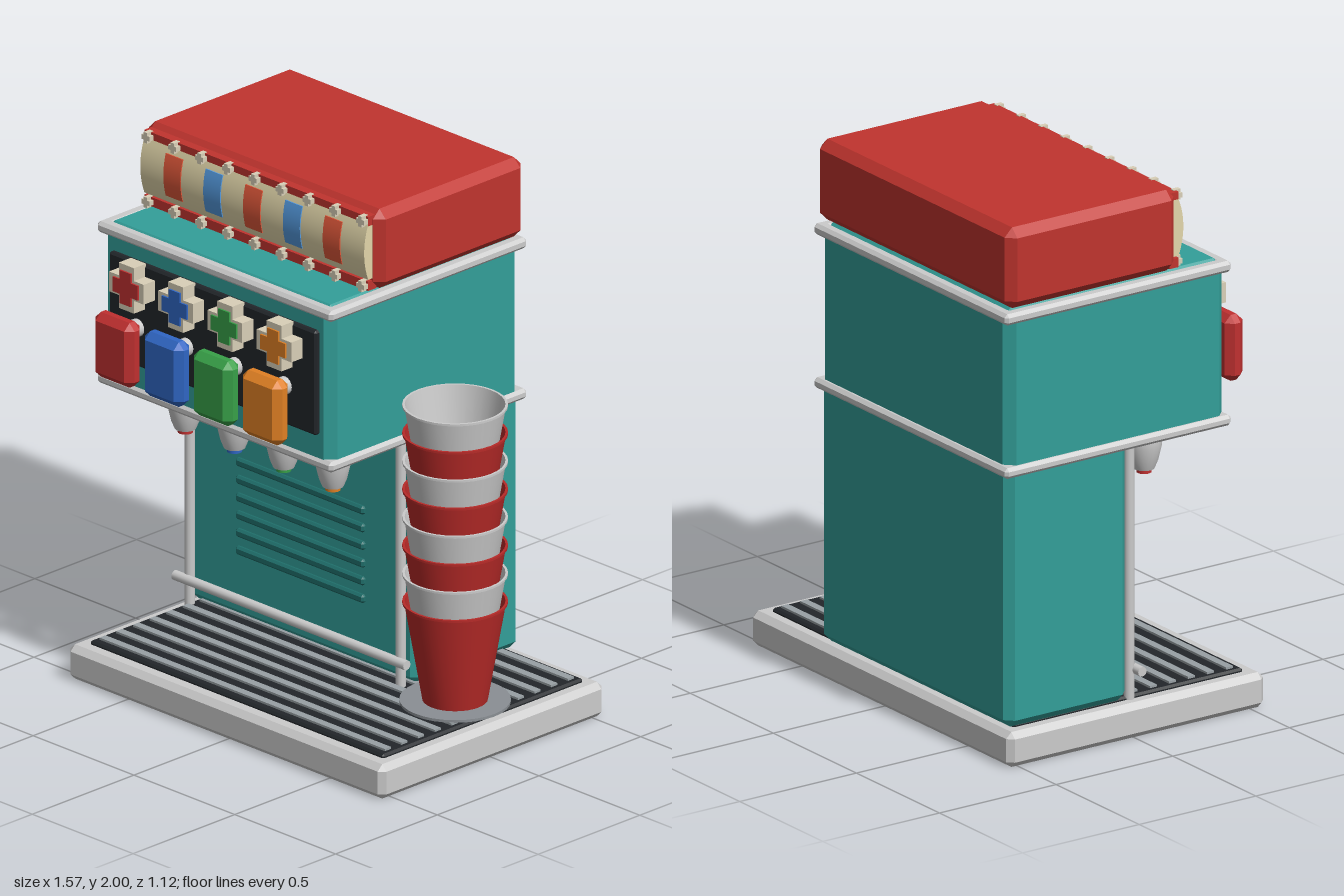
import * as THREE from 'three';
import { toCreasedNormals } from 'three/addons/utils/BufferGeometryUtils.js';
import { ConvexGeometry } from 'three/addons/geometries/ConvexGeometry.js';

const mat = (color) => new THREE.MeshStandardMaterial({ color });
const GREY = mat(0xcccccc), TEAL = mat(0x339f99), RED = mat(0xc0342e), BLACK = mat(0x22262a);
const CREAM = mat(0xd9d0b8), DARK_TEAL = mat(0x1f6f6b), SLAT = mat(0x98a0a4);
const DRINKS = [mat(0xc03030), mat(0x2f66c4), mat(0x38a048), mat(0xe08024)];

function add(parent, name, geometry, material, x = 0, y = 0, z = 0) {
  const mesh = new THREE.Mesh(geometry, material);
  mesh.name = name;
  mesh.position.set(x, y, z);
  parent.add(mesh);
  return mesh;
}

function group(parent, name) {
  const g = new THREE.Group();
  g.name = name;
  parent.add(g);
  return g;
}

// box with all edges chamfered by c, given by its min and max on each axis
function chamferBox(parent, name, material, [x0, x1], [y0, y1], [z0, z1], c) {
  const h = [(x1 - x0) / 2, (y1 - y0) / 2, (z1 - z0) / 2];
  const points = [];
  for (const sx of [-1, 1]) for (const sy of [-1, 1]) for (const sz of [-1, 1])
    for (let full = 0; full < 3; full++) {
      const e = h.map((v, i) => (i === full ? v : v - c));
      points.push(new THREE.Vector3(sx * e[0], sy * e[1], sz * e[2]));
    }
  return add(parent, name, new ConvexGeometry(points), material, (x0 + x1) / 2, (y0 + y1) / 2, (z0 + z1) / 2);
}

// plus sign extruded forward from z
function plus(parent, name, material, size, arm, depth, x, y, z) {
  const a = size / 2, b = arm / 2;
  const shape = new THREE.Shape([
    [-b, -a], [b, -a], [b, -b], [a, -b], [a, b], [b, b],
    [b, a], [-b, a], [-b, b], [-a, b], [-a, -b], [-b, -b],
  ].map(([px, py]) => new THREE.Vector2(px, py)));
  add(parent, name, new THREE.ExtrudeGeometry(shape, { depth, bevelEnabled: false }), material, x, y, z);
}

// slab with a curved front, running along x
function curvedSlab(parent, name, material, x0, x1, y0, y1, edgeZ, bulge) {
  const shape = new THREE.Shape();
  shape.moveTo(0.16, y0);
  shape.lineTo(edgeZ, y0);
  shape.quadraticCurveTo(edgeZ + bulge * 2, (y0 + y1) / 2, edgeZ, y1);
  shape.lineTo(0.16, y1);
  const geo = new THREE.ExtrudeGeometry(shape, { depth: x1 - x0, bevelEnabled: false, curveSegments: 12 });
  geo.rotateY(-Math.PI / 2);
  add(parent, name, toCreasedNormals(geo, 0.6), material, x1, 0, 0);
}

function lathe(profile, segments) {
  const geo = new THREE.LatheGeometry(profile.map(([r, y]) => new THREE.Vector2(r, y)), segments);
  return toCreasedNormals(geo, 0.7);
}

// rectangular trim band around the upper cabinet
function trimBand(parent, name, y0, y1) {
  const g = group(parent, name), c = 0.012, w = 0.05;
  for (const z of [-0.56, 0.36]) chamferBox(g, 'trimBar', GREY, [-0.785, 0.382], [y0, y1], [z, z + w], c);
  for (const x of [-0.785, 0.332]) chamferBox(g, 'trimBar', GREY, [x, x + w], [y0, y1], [-0.56, 0.41], c);
}

export function createModel() {
  const model = new THREE.Group();
  model.name = 'drinkDispenser';

  // drip tray with slatted grille
  const tray = group(model, 'dripTray');
  chamferBox(tray, 'trayBase', GREY, [-0.785, 0.782], [0, 0.13], [-0.545, 0.555], 0.022);
  chamferBox(tray, 'drainPanel', BLACK, [-0.73, 0.727], [0.11, 0.143], [-0.49, 0.495], 0.008);
  for (let i = 0; i < 12; i++)
    add(tray, 'slat', new THREE.BoxGeometry(1.415, 0.012, 0.03), SLAT, -0.002, 0.145, -0.449 + i * 0.0818);

  // cabinet
  const cabinet = group(model, 'cabinet');
  chamferBox(cabinet, 'lowerCabinet', TEAL, [-0.768, 0.37], [0.14, 1.12], [-0.54, -0.02], 0.03);
  chamferBox(cabinet, 'upperCabinet', TEAL, [-0.768, 0.37], [1.07, 1.695], [-0.54, 0.4], 0.035);
  trimBand(cabinet, 'upperTrim', 1.648, 1.69);
  trimBand(cabinet, 'lowerTrim', 1.078, 1.118);
  for (let i = 0; i < 6; i++)
    chamferBox(cabinet, 'vent', DARK_TEAL, [-0.515, 0.12], [0.385 + i * 0.067, 0.417 + i * 0.067], [-0.04, -0.005], 0.008);

  // frame of posts and cross rail
  const frame = group(model, 'frame');
  for (const x of [-0.722, 0.325])
    add(frame, 'post', new THREE.CylinderGeometry(0.019, 0.019, 0.95, 12), GREY, x, 0.605, 0.01);
  const rail = add(frame, 'rail', new THREE.CylinderGeometry(0.018, 0.018, 1.15, 12), GREY, -0.2, 0.24, 0.03);
  rail.rotation.z = Math.PI / 2;

  // illuminated sign on top
  const sign = group(model, 'sign');
  chamferBox(sign, 'signBox', RED, [-0.785, 0.39], [1.7, 2], [-0.545, 0.18], 0.032);
  curvedSlab(sign, 'signPanel', CREAM, -0.755, 0.355, 1.745, 1.955, 0.2, 0.02);
  sign.children.at(-1).material = mat(0xe2d6aa);
  const stripes = [mat(0xe0583a), mat(0x559be0)];
  for (let i = 0; i < 5; i++) {
    const x = -0.595 + i * 0.1975;
    curvedSlab(sign, 'stripe', stripes[i % 2], x - 0.042, x + 0.042, 1.772, 1.932, 0.212, 0.012);
  }
  for (const y of [1.72, 1.965]) {
    add(sign, 'bulbStrip', new THREE.BoxGeometry(1.11, 0.035, 0.04), RED, -0.2, y, 0.18);
    for (let i = 0; i < 9; i++) plus(sign, 'bulb', CREAM, 0.04, 0.018, 0.03, -0.73 + i * 0.133, y, 0.19);
  }

  // taps: knob, lever and nozzle for each drink
  const taps = group(model, 'taps');
  chamferBox(taps, 'tapPanel', BLACK, [-0.712, 0.315], [1.205, 1.6], [0.38, 0.42], 0.008);
  const nozzleGeo = lathe([[0, 0.905], [0.038, 0.905], [0.05, 0.935], [0.063, 0.99], [0.064, 1.02], [0.055, 1.085]], 20);
  DRINKS.forEach((color, i) => {
    const x = -0.567 + i * 0.244, tap = group(taps, 'tap');
    plus(tap, 'knob', CREAM, 0.172, 0.075, 0.06, x, 1.52, 0.415);
    plus(tap, 'knobMark', color, 0.125, 0.055, 0.02, x, 1.52, 0.462);
    const stem = add(tap, 'leverStem', new THREE.CylinderGeometry(0.033, 0.033, 0.09, 16), GREY, x, 1.355, 0.455);
    stem.rotation.x = Math.PI / 2;
    chamferBox(tap, 'lever', color, [x - 0.097, x + 0.097], [1.18, 1.425], [0.48, 0.556], 0.026);
    add(tap, 'nozzle', nozzleGeo, GREY, x, 0, 0.185);
    add(tap, 'nozzleTip', new THREE.CylinderGeometry(0.027, 0.027, 0.03, 16), color, x, 0.905, 0.185);
  });

  // stack of nested open cups on a saucer
  const stack = group(model, 'cupStack');
  add(stack, 'saucer', new THREE.CylinderGeometry(0.195, 0.195, 0.01, 32), mat(0x8a8f94), 0.57, 0.155, -0.014);
  const cupGeo = lathe([[0, 0], [0.115, 0], [0.178, 0.362], [0.185, 0.364], [0.185, 0.372], [0.176, 0.372], [0.115, 0.012], [0, 0.012]], 32);
  const cupColors = [mat(0xb82a28), GREY];
  for (let i = 0; i < 8; i++) add(stack, 'cup', cupGeo, cupColors[i % 2], 0.57, 0.16 + i * 0.1063, -0.014);

  return model;
}
